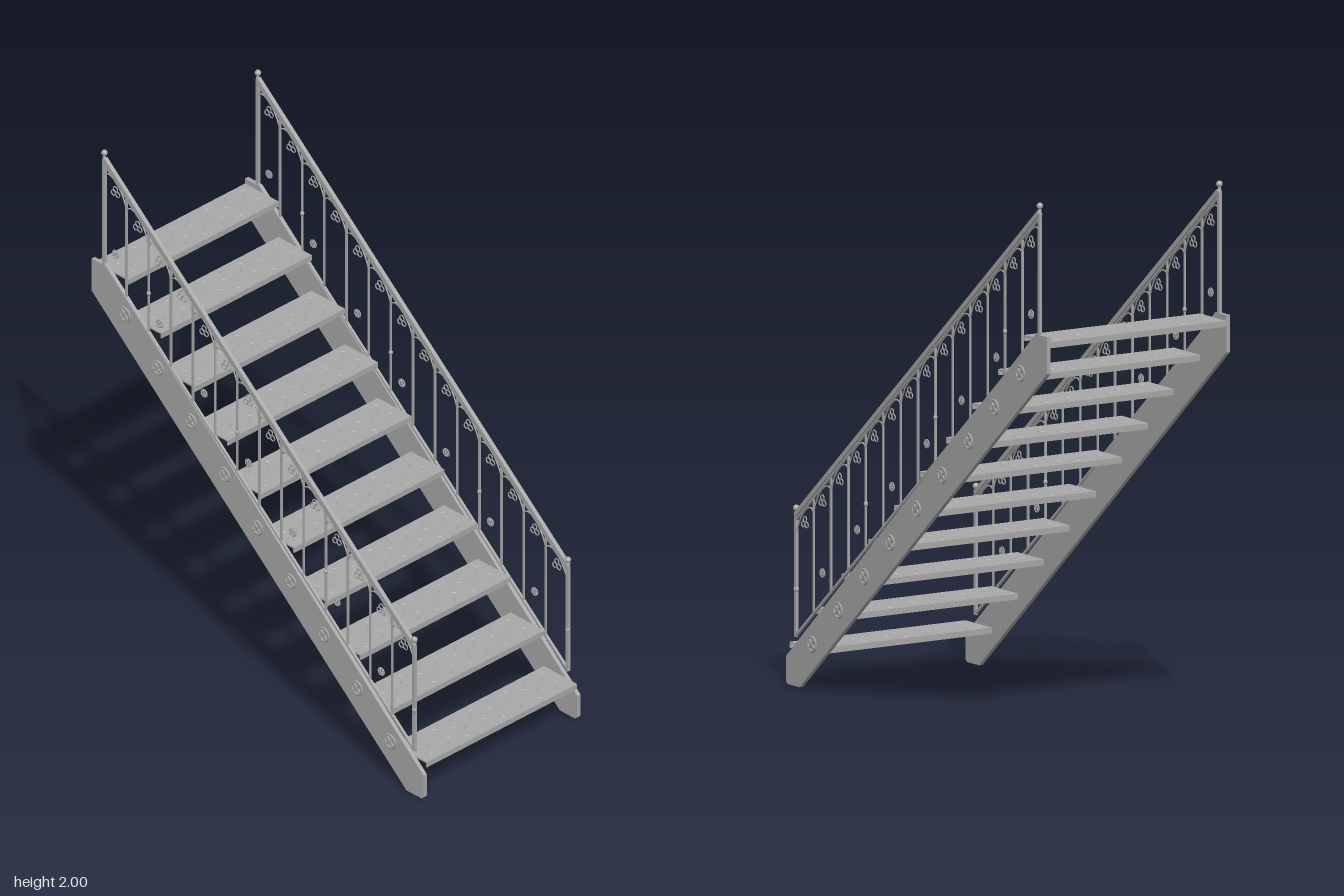
import * as THREE from 'three';
import { mergeGeometries } from 'three/addons/utils/BufferGeometryUtils.js';

const steel = new THREE.MeshStandardMaterial({ color: 0xa9a9a9 });
steel.name = 'steel grey';

const STEPS = 10, RISE = 0.15, RUN = 0.1685, FRONT = 0.845;
const BAYS = 14, Z0 = 0.79, BAY = 0.1125, SLOPE = 0.852;
const SIDE = 0.383;                                    // x of stringers and railings
const railTop = (z) => 0.631 + (Z0 - z) * SLOPE;       // top edge of the handrail
const railAngle = Math.atan(SLOPE);

function part(name, geos, parent) {
  const list = [].concat(geos).map((g) => (g.index ? g.toNonIndexed() : g));
  const mesh = new THREE.Mesh(mergeGeometries(list), steel);
  mesh.name = name;
  parent.add(mesh);
  return mesh;
}

const box = (w, h, d, x, y, z) => new THREE.BoxGeometry(w, h, d).translate(x, y, z);

// Bar following the pitch of the railing, centred a given drop below the handrail top
function slopedBar(w, h, drop) {
  const zm = Z0 - (BAYS * BAY) / 2;
  return new THREE.BoxGeometry(w, h, (BAYS * BAY) / Math.cos(railAngle))
    .rotateX(railAngle).translate(0, railTop(zm) - drop, zm);
}

// Ring lying in the side plane
const ring = (r, tube, y, z) =>
  new THREE.TorusGeometry(r, tube, 6, 16).rotateY(Math.PI / 2).translate(0, y, z);

// Ring with a diagonal cross and a centre boss
function rosette(r, tube, y, z) {
  const geos = [ring(r, tube, y, z)];
  for (const a of [Math.PI / 4, -Math.PI / 4]) {
    geos.push(new THREE.BoxGeometry(tube * 1.6, r * 2, tube * 1.8).rotateX(a).translate(0, y, z));
  }
  geos.push(new THREE.SphereGeometry(r * 0.32, 10, 6).scale(0.6, 1, 1).translate(0, y, z));
  return geos;
}

// Folded sheet step with raised grip marks
function buildTread(i) {
  const tread = new THREE.Group();
  tread.name = 'tread' + (i + 1);
  const w = 0.75, d = 0.17;
  part('stepPlate', [
    box(w, 0.006, d, 0, -0.003, -d / 2),
    box(w, 0.022, 0.005, 0, -0.011, -0.0025),
    box(w, 0.022, 0.005, 0, -0.011, -d + 0.0025),
  ], tread);
  const marks = [];
  for (let row = 0; row < 4; row++) {
    for (let col = 0; col < 8; col++) {
      const x = -0.325 + col * 0.09 + (row % 2) * 0.03;
      const angle = ((row + col) % 2 ? 1 : -1) * Math.PI / 4;
      marks.push(new THREE.SphereGeometry(1, 8, 4, 0, Math.PI * 2, 0, Math.PI / 2)
        .scale(0.014, 0.003, 0.0045).rotateY(angle).translate(x, 0, -0.03 - row * 0.037));
    }
  }
  part('gripMarks', marks, tread);
  tread.position.set(0, RISE * (i + 1), FRONT - RUN * i);
  return tread;
}

// Sloped side beam with cut ends and a row of medallions on its outer face
function buildStringer(side) {
  const group = new THREE.Group();
  group.name = side > 0 ? 'leftStringer' : 'rightStringer';
  const outline = [[0.845, 0.01], [0.845, 0.1], [-0.77, 1.52], [-0.842, 1.52],
    [-0.842, 1.385], [0.757, 0], [0.835, 0]];
  const shape = new THREE.Shape(outline.map(([z, y]) => new THREE.Vector2(-z, y)));
  const beam = new THREE.ExtrudeGeometry(shape, { depth: 0.016, bevelEnabled: false })
    .translate(0, 0, -0.008).rotateY(Math.PI / 2);
  part('beam', beam, group);
  const medallions = [];
  for (let i = 0; i < STEPS - 1; i++) {
    medallions.push(...rosette(0.026, 0.0045, 0.17 + i * 0.149, 0.675 - i * RUN));
  }
  part('medallions', medallions, group).position.x = side * 0.009;
  group.position.x = side * SIDE;
  return group;
}

function buildRailing(side) {
  const group = new THREE.Group();
  group.name = side > 0 ? 'leftRailing' : 'rightRailing';
  part('handrail', [slopedBar(0.016, 0.017, 0.011), slopedBar(0.01, 0.007, 0.03)], group);
  part('bottomRail', slopedBar(0.01, 0.009, 0.449), group);

  const posts = [], arches = [], trefoils = [], rosettes = [], collars = [], balls = [];
  for (let k = 0; k <= BAYS; k++) {
    const z = Z0 - k * BAY, end = k === 0 || k === BAYS;
    const low = railTop(z) - 0.453, high = railTop(z) - 0.012, t = end ? 0.012 : 0.007;
    posts.push(box(t, high - low, t, 0, (high + low) / 2, z));
    if (end) {
      balls.push(new THREE.SphereGeometry(0.012, 16, 10).translate(0, railTop(z) + 0.013, z));
      balls.push(new THREE.CylinderGeometry(0.005, 0.007, 0.014, 10).translate(0, railTop(z) - 0.001, z));
    }
    if (k % 4 === 0 && !end) {
      collars.push(new THREE.SphereGeometry(0.008, 10, 8).scale(1, 1.3, 1).translate(0, railTop(z) - 0.285, z));
    }
    if (k === 0) {
      collars.push(new THREE.SphereGeometry(0.01, 10, 8).scale(1, 1.2, 1).translate(0, 0.35, z));
    }
    if (k === BAYS) break;

    // Arch sheared along the pitch of the rail
    const pts = [];
    for (let j = 0; j <= 10; j++) {
      const a = (j / 10) * Math.PI, pz = z - BAY * (1 - Math.cos(a)) / 2;
      pts.push(new THREE.Vector3(0, railTop(pz) - 0.036 - 0.06 * (1 - Math.sin(a)), pz));
    }
    arches.push(new THREE.TubeGeometry(new THREE.CatmullRomCurve3(pts), 16, 0.003, 6));

    // Three small rings under each arch, a rosette in every second bay
    const mid = z - BAY / 2;
    for (let j = 0; j < 3; j++) {
      const a = Math.PI / 2 + (j * Math.PI * 2) / 3;
      trefoils.push(ring(0.0105, 0.0025, railTop(mid) - 0.08 + 0.0125 * Math.sin(a), mid + 0.0125 * Math.cos(a)));
    }
    if (k % 2) rosettes.push(...rosette(0.0145, 0.003, railTop(mid) - 0.34, mid));
  }
  part('balusters', posts, group);
  part('arches', arches, group);
  part('trefoils', trefoils, group);
  part('rosettes', rosettes, group);
  part('collars', collars, group);
  part('finials', balls, group);
  group.position.x = side * SIDE;
  return group;
}

export function createModel() {
  const model = new THREE.Group();
  model.name = 'staircase';
  for (let i = 0; i < STEPS; i++) model.add(buildTread(i));
  for (const side of [1, -1]) model.add(buildStringer(side), buildRailing(side));
  return model;
}
